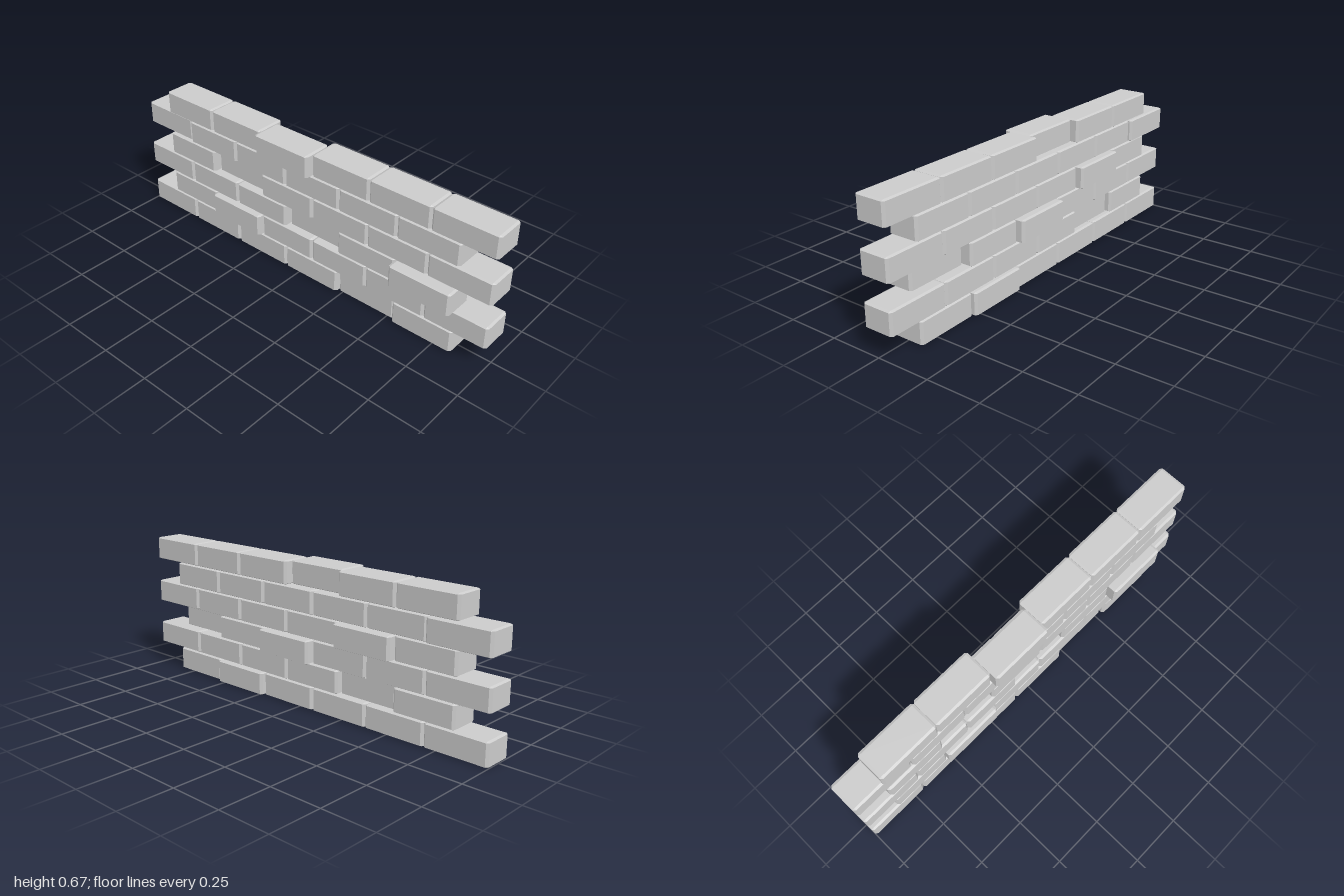
import * as THREE from 'three';
import { ConvexGeometry } from 'three/addons/geometries/ConvexGeometry.js';

const ROWS = 6, COLUMNS = 6;
const WIDTH = 0.306, HEIGHT = 0.11, DEPTH = 0.148;
const PITCH_X = 0.307, PITCH_Y = 0.111, ROW_SHIFT = 0.159;
const BASE_Z = -0.006;

// Bricks that sit proud of, or behind, the wall plane: 'row,column' -> z offset
const OFFSETS = {
  '0,4': -0.018,
  '1,1': 0.025,
  '2,3': -0.033,
  '2,5': 0.047,
  '3,1': -0.033,
  '4,0': -0.012,
  '5,2': 0.035,
};

// Box with flat chamfers on every edge: three points at each corner
function chamferedBrick(w, h, d, cx, cy, cz) {
  const points = [];
  for (const sx of [-1, 1]) for (const sy of [-1, 1]) for (const sz of [-1, 1]) {
    const x = w / 2, y = h / 2, z = d / 2;
    points.push(
      new THREE.Vector3(sx * x, sy * (y - cy), sz * (z - cz)),
      new THREE.Vector3(sx * (x - cx), sy * y, sz * (z - cz)),
      new THREE.Vector3(sx * (x - cx), sy * (y - cy), sz * z),
    );
  }
  return new ConvexGeometry(points);
}

export function createModel() {
  const wall = new THREE.Group();
  wall.name = 'brickWall';
  const material = new THREE.MeshStandardMaterial({ color: 0xcccccc, flatShading: true });
  const brickGeometry = chamferedBrick(WIDTH, HEIGHT, DEPTH, 0.011, 0.005, 0.011);

  // Running bond: every second course is shifted by about half a brick
  for (let row = 0; row < ROWS; row++) {
    const course = new THREE.Group();
    course.name = `course${row + 1}`;
    for (let column = 0; column < COLUMNS; column++) {
      const brick = new THREE.Mesh(brickGeometry, material);
      brick.name = 'brick';
      brick.position.set(
        -1 + WIDTH / 2 + column * PITCH_X + (row % 2) * ROW_SHIFT,
        HEIGHT / 2 + row * PITCH_Y,
        BASE_Z + (OFFSETS[`${row},${column}`] ?? 0),
      );
      course.add(brick);
    }
    wall.add(course);
  }
  return wall;
}
